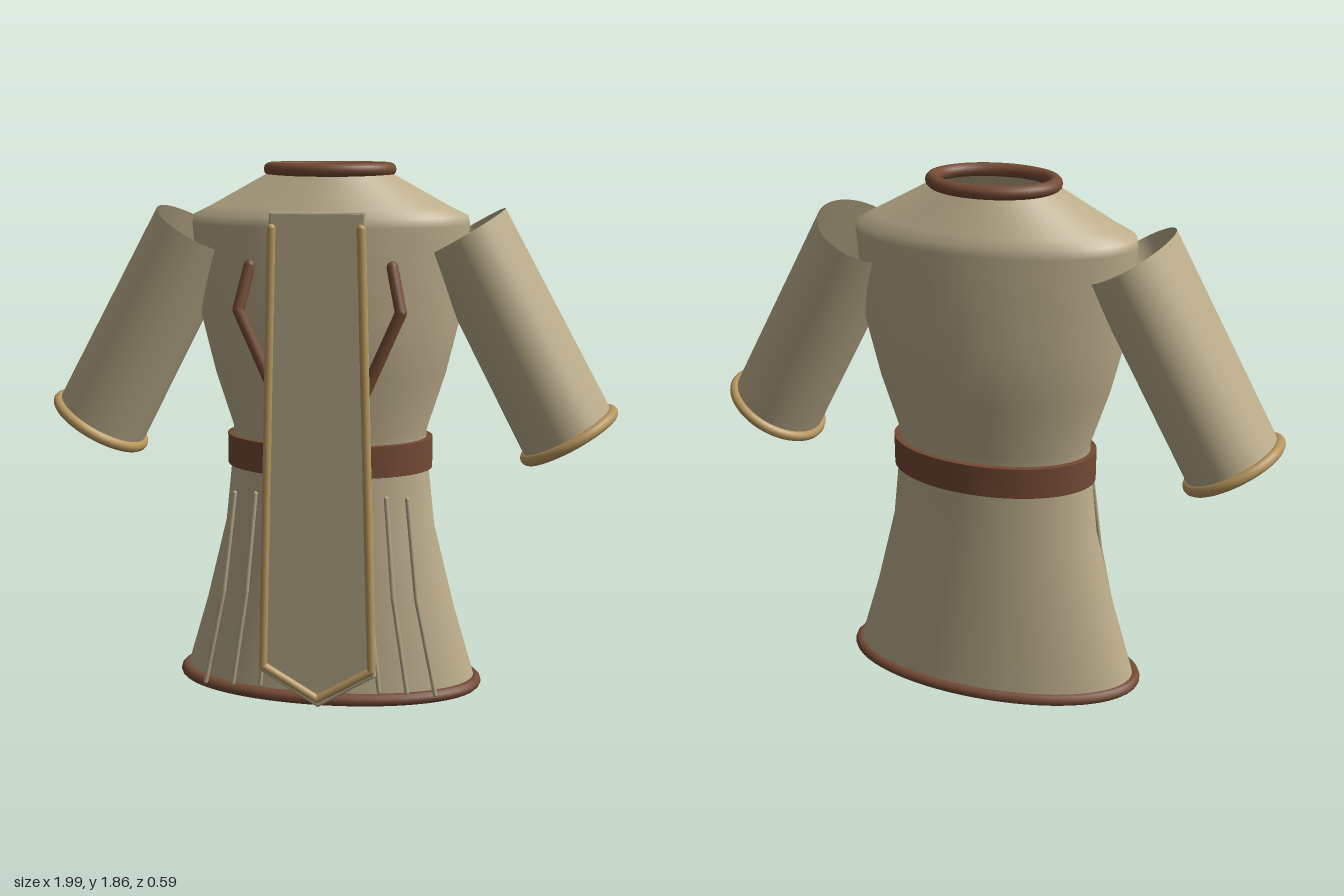
import * as THREE from 'three';

const mat = (name, color, side = THREE.FrontSide) => {
  const m = new THREE.MeshStandardMaterial({ color, side });
  m.name = name;
  return m;
};
const V = (x, y, z) => new THREE.Vector3(x, y, z);

// Open tube through elliptical rings {c: centre, u, v: half axes}, listed bottom to top
function loft(rings, n = 64) {
  const pos = [], idx = [];
  rings.forEach(({ c, u, v }, r) => {
    for (let i = 0; i < n; i++) {
      const a = (i / n) * Math.PI * 2, p = c.clone().addScaledVector(u, Math.cos(a)).addScaledVector(v, Math.sin(a));
      pos.push(p.x, p.y, p.z);
      if (r === rings.length - 1) continue;
      const p0 = r * n + i, p1 = r * n + (i + 1) % n;
      idx.push(p0, p0 + n, p1, p1, p0 + n, p1 + n);
    }
  });
  const g = new THREE.BufferGeometry();
  g.setAttribute('position', new THREE.Float32BufferAttribute(pos, 3));
  g.setIndex(idx);
  g.computeVertexNormals();
  return g;
}

// Round piping along an ellipse
function piping({ c, u, v }, radius) {
  const pts = [];
  for (let i = 0; i < 32; i++) {
    const a = (i / 32) * Math.PI * 2;
    pts.push(c.clone().addScaledVector(u, Math.cos(a)).addScaledVector(v, Math.sin(a)));
  }
  return new THREE.TubeGeometry(new THREE.CatmullRomCurve3(pts, true), 72, radius, 12, true);
}

// Round cord along straight segments with ball joints
function cord(name, pts, radius, material) {
  const group = new THREE.Group();
  group.name = name;
  pts.forEach((p, i) => {
    const ball = new THREE.Mesh(new THREE.SphereGeometry(radius, 12, 8), material);
    ball.name = name + 'Joint';
    ball.position.copy(p);
    group.add(ball);
    if (i === 0) return;
    const d = p.clone().sub(pts[i - 1]);
    const seg = new THREE.Mesh(new THREE.CylinderGeometry(radius, radius, d.length(), 12, 1, true), material);
    seg.name = name + 'Segment';
    seg.position.copy(p).addScaledVector(d, -0.5);
    seg.quaternion.setFromUnitVectors(V(0, 1, 0), d.normalize());
    group.add(seg);
  });
  return group;
}

export function createModel() {
  const model = new THREE.Group();
  model.name = 'tunic';
  const cloth = mat('linen cloth', 0xbbac8a, THREE.DoubleSide);
  const panelCloth = mat('panel cloth', 0xb0a585);
  const leather = mat('brown leather', 0x744a34, THREE.DoubleSide);
  const gold = mat('gold trim', 0xb6955c);
  const add = (name, geometry, material) => {
    const m = new THREE.Mesh(geometry, material);
    m.name = name;
    model.add(m);
    return m;
  };
  const ring = (y, rx, rz, z = -0.03) => ({ c: V(0, y, z), u: V(rx, 0, 0), v: V(0, 0, rz) });

  // Body: flared skirt, waist, chest and sloping shoulders
  add('body', loft([
    ring(0.03, 0.53, 0.242), ring(0.3, 0.45, 0.225), ring(0.6, 0.375, 0.21), ring(0.87, 0.345, 0.2),
    ring(0.95, 0.342, 0.205), ring(1.15, 0.405, 0.238), ring(1.35, 0.452, 0.26), ring(1.66, 0.478, 0.244),
    ring(1.69, 0.472, 0.238), ring(1.72, 0.41, 0.22), ring(1.835, 0.2, 0.148),
  ]), cloth);
  add('hem', piping(ring(0.024, 0.532, 0.244, -0.025), 0.022), leather);
  add('collar', piping(ring(1.842, 0.203, 0.149, -0.033), 0.023), leather);

  // Belt band with thickness, and its buckle
  add('belt', loft([
    ring(0.815, 0.34, 0.2), ring(0.815, 0.364, 0.223), ring(0.816, 0.364, 0.223),
    ring(0.924, 0.364, 0.223), ring(0.925, 0.364, 0.223), ring(0.925, 0.34, 0.2),
  ]), leather);
  const buckle = add('buckle', new THREE.TorusGeometry(0.05, 0.012, 8, 32), gold);
  buckle.position.set(0, 0.872, 0.222);

  for (const s of [1, -1]) {
    const side = s > 0 ? 'left' : 'right';
    // Sleeve: open at both ends, tapering in depth toward the cuff
    const sleeveRing = (x, y, z, r, rz) => ({
      c: V(s * x, y, z), u: V(s * 0.857 * r, 0.515 * r, 0), v: V(0, 0, s * rz),
    });
    const cuff = sleeveRing(0.832, 0.947, -0.02, 0.167, 0.166);
    add(side + 'Sleeve', loft([cuff, sleeveRing(0.462, 1.636, -0.03, 0.155, 0.22)]), cloth);
    add(side + 'Cuff', piping(cuff, 0.02), gold);

    // Chest strap, bent outward then running in behind the panel
    model.add(cord(side + 'ChestStrap', [
      V(s * 0.237, 1.535, 0.185), V(s * 0.27, 1.39, 0.222), V(s * 0.085, 0.965, 0.222),
    ], 0.02, leather));

    // Skirt pleats
    for (const [top, mid, low] of [[0.297, 0.335, 0.405], [0.225, 0.255, 0.307], [0.15, 0.172, 0.21]])
      model.add(cord(side + 'Pleat', [
        V(s * top, 0.755, 0.195), V(s * mid, 0.41, 0.225), V(s * low, 0.07, 0.23),
      ], 0.008, panelCloth));
  }

  // Hanging front panel with a pointed end
  const outline = new THREE.Shape([[-0.149, 1.709], [-0.194, 0.14], [0, 0.02], [0.194, 0.14], [0.149, 1.709]]
    .map(([x, y]) => new THREE.Vector2(x, y)));
  const panel = add('frontPanel', new THREE.ExtrudeGeometry(outline, {
    depth: 0.012, bevelThickness: 0.007, bevelSize: 0.007, bevelSegments: 2,
  }), panelCloth);
  panel.position.z = 0.251;

  // Gold cord edging the panel
  model.add(cord('panelTrim', [
    V(-0.145, 1.665, 0.284), V(-0.188, 0.165, 0.284), V(0, 0.052, 0.284),
    V(0.188, 0.165, 0.284), V(0.145, 1.665, 0.284),
  ], 0.014, gold));

  return model;
}
